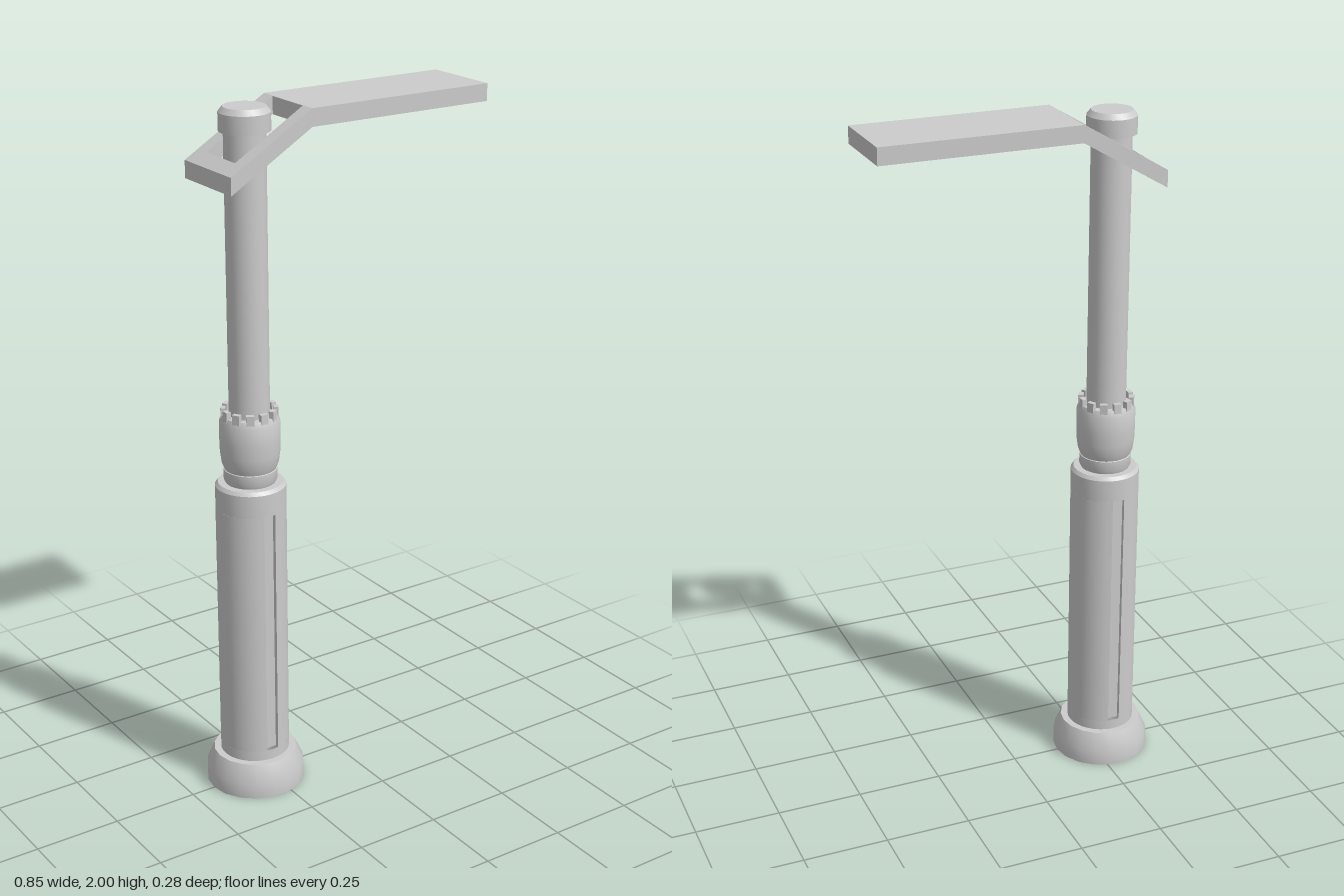
import * as THREE from 'three';
import { toCreasedNormals } from 'three/addons/utils/BufferGeometryUtils.js';

const POST_X = -0.285;
const material = new THREE.MeshStandardMaterial({ color: 0xcccccc });

function add(parent, name, geometry, crease = 0.55) {
  const mesh = new THREE.Mesh(toCreasedNormals(geometry, crease), material);
  mesh.name = name;
  parent.add(mesh);
  return mesh;
}

// Turned part from [radius, height] pairs, listed from bottom to top
function turned(profile, sides = 32) {
  const points = profile.map(([r, y]) => new THREE.Vector2(r, y));
  return new THREE.LatheGeometry(points, sides).rotateY(Math.PI / 2);
}

function rectangle(Kind, x0, x1, halfWidth) {
  const points = [[x0, -halfWidth], [x1, -halfWidth], [x1, halfWidth], [x0, halfWidth]];
  return new Kind(points.map(([x, y]) => new THREE.Vector2(x, y)));
}

// Plan outline raised from y0 to y1
function raised(shape, y0, y1) {
  return new THREE.ExtrudeGeometry(shape, { depth: y1 - y0, bevelEnabled: false, steps: 1 })
    .rotateX(-Math.PI / 2).translate(0, y0, 0);
}

// Round outline with a narrow notch on the front and back
function notchedCircle(radius, halfWidth, depth) {
  const points = [];
  const gap = Math.asin(halfWidth / radius);
  for (const side of [1, -1]) {
    const start = side > 0 ? -Math.PI / 2 + gap : Math.PI / 2 + gap;
    for (let i = 0; i <= 16; i++) {
      const a = start + (i / 16) * (Math.PI - 2 * gap);
      points.push(new THREE.Vector2(radius * Math.cos(a), radius * Math.sin(a)));
    }
    points.push(new THREE.Vector2(side * halfWidth, side * (radius - depth)));
    points.push(new THREE.Vector2(-side * halfWidth, side * (radius - depth)));
  }
  return new THREE.Shape(points);
}

function createPost() {
  const post = new THREE.Group();
  post.name = 'post';
  post.position.x = POST_X;

  // Hollow flared foot
  add(post, 'foot', turned([[0.095, 0.1], [0.11, 0.085], [0.133, 0.045], [0.133, 0],
    [0.143, 0], [0.143, 0.05], [0.121, 0.1], [0.095, 0.1]], 18));

  // Lower column, with a slot down its front and back
  add(post, 'columnBottom', turned([[0, 0.085], [0.1, 0.085], [0.1, 0.13]]));
  add(post, 'slottedColumn', raised(notchedCircle(0.1, 0.018, 0.014), 0.13, 0.87));
  add(post, 'columnTop', turned([[0.1, 0.87], [0.1, 0.936], [0.092, 0.946], [0, 0.946]]));

  // Neck and swelling collar
  add(post, 'neck', turned([[0.068, 0.94], [0.075, 0.955], [0.075, 0.985], [0.066, 0.99]]));
  add(post, 'collar', turned([[0.05, 0.982], [0.072, 0.985], [0.08, 1.005], [0.084, 1.035],
    [0.085, 1.07], [0.085, 1.125], [0.077, 1.145], [0.05, 1.145]]));

  // Ring of small teeth on the collar
  const teeth = new THREE.Group();
  teeth.name = 'collarTeeth';
  post.add(teeth);
  for (let i = 0; i < 12; i++) {
    const tooth = new THREE.BoxGeometry(0.022, 0.032, 0.014)
      .translate(0, 1.149, 0.073).rotateY((i * Math.PI) / 6);
    add(teeth, 'tooth', tooth);
  }

  // Slim upper pole and its cap
  add(post, 'upperPole', turned([[0.057, 1.14], [0.057, 1.94]]));
  add(post, 'cap', turned([[0, 1.935], [0.07, 1.935], [0.07, 1.985], [0.058, 2], [0, 2]]));
  return post;
}

function createLampArm() {
  const arm = new THREE.Group();
  arm.name = 'lampArm';
  const bend = -0.15, end = 0.425, tail = -0.4, half = 0.117;

  // Flat lamp head: solid plate over a rim, leaving a recessed light panel
  add(arm, 'lampPlate', raised(rectangle(THREE.Shape, bend, end, half), 1.96, 1.997));
  const rim = rectangle(THREE.Shape, bend, end, half);
  rim.holes.push(rectangle(THREE.Path, -0.05, 0.28, 0.075));
  add(arm, 'lampRim', raised(rim, 1.948, 1.96));

  // Sloping open frame around the pole, sheared down from the bend
  const frame = rectangle(THREE.Shape, tail, bend, half);
  frame.holes.push(rectangle(THREE.Path, -0.36, bend - 0.001, 0.073));
  const sloped = raised(frame, 1.948, 1.997);
  const position = sloped.attributes.position;
  for (let i = 0; i < position.count; i++) {
    const drop = (bend - position.getX(i)) * 0.595;
    position.setY(i, position.getY(i) - drop);
  }
  add(arm, 'slopingFrame', sloped);
  return arm;
}

export function createModel() {
  const model = new THREE.Group();
  model.name = 'streetLamp';
  model.add(createPost(), createLampArm());
  return model;
}
